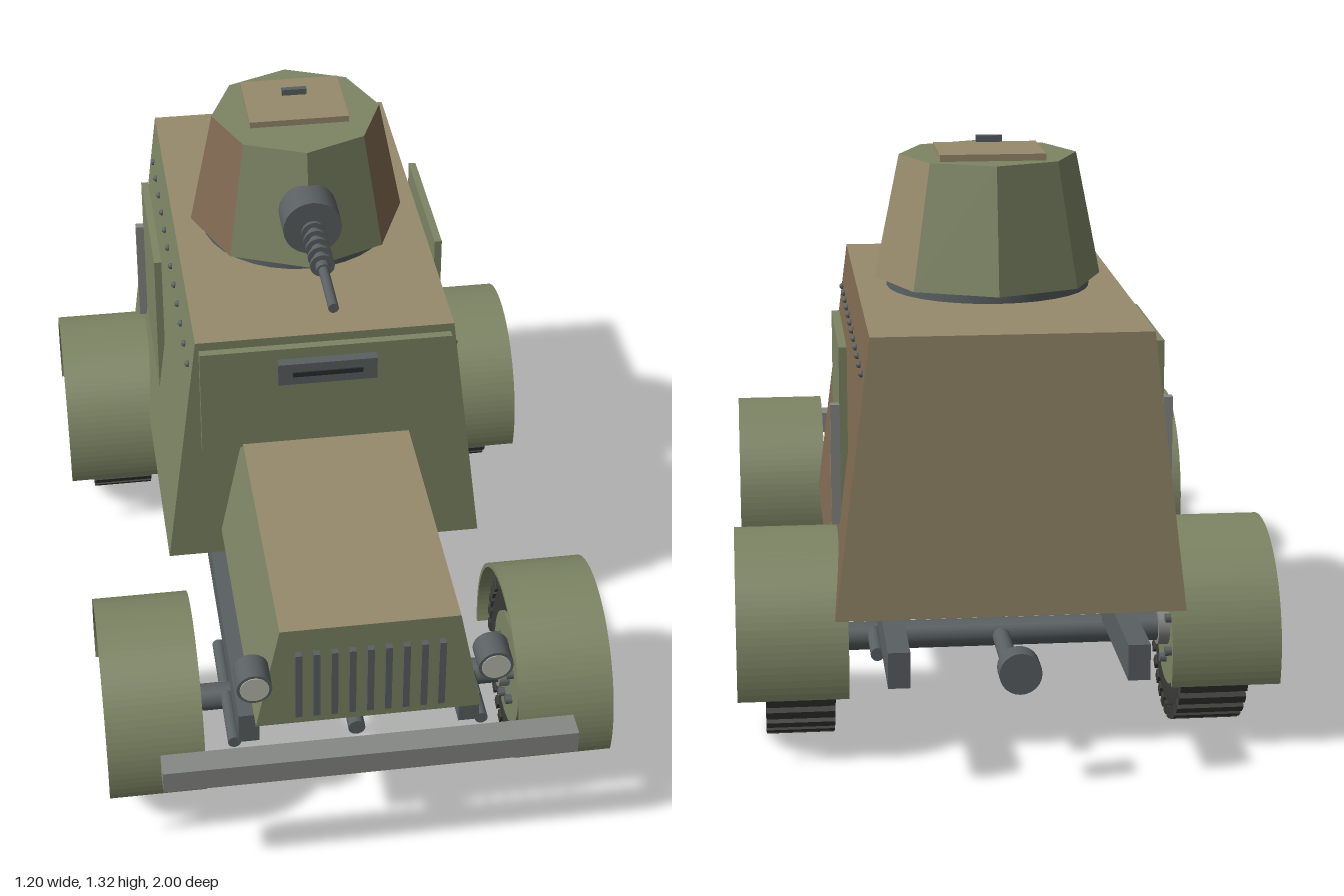
import * as THREE from 'three';

const mat = (color, extra = {}) => new THREE.MeshStandardMaterial({ color, ...extra });
const green = mat(0x7d8564), brown = mat(0x806a52), tan = mat(0x988b6c);
const steel = mat(0x5a6062), grey = mat(0x868885), rubber = mat(0x3a3b37);
const black = mat(0x2b2d2c), glass = mat(0xb9bbae);
// Camouflage order of box faces: +x, -x, +y, -y, +z, -z
const camo = [brown, green, tan, green, green, tan];

export function createModel() {
  const model = new THREE.Group();

  function add(name, geometry, material, x, y, z, parent = model) {
    const m = new THREE.Mesh(geometry, material);
    m.name = name;
    m.position.set(x, y, z);
    parent.add(m);
    return m;
  }
  const box = (name, w, h, d, material, x, y, z, parent) =>
    add(name, new THREE.BoxGeometry(w, h, d), material, x, y, z, parent);
  // Cylinder lying along the x or z axis
  function rod(name, axis, r, len, material, x, y, z, parent, sides = 24) {
    const g = new THREE.CylinderGeometry(r, r, len, sides);
    if (axis === 'x') g.rotateZ(Math.PI / 2);
    else g.rotateX(Math.PI / 2);
    return add(name, g, material, x, y, z, parent);
  }
  // Box whose sides lean inward towards the top
  function tapered(name, bottom, top, y0, y1, z0, z1) {
    const g = new THREE.BoxGeometry(2, y1 - y0, z1 - z0);
    const p = g.attributes.position;
    for (let i = 0; i < p.count; i++) p.setX(i, p.getX(i) * (p.getY(i) > 0 ? top : bottom));
    g.computeVertexNormals();
    return add(name, g, camo, 0, (y0 + y1) / 2, (z0 + z1) / 2);
  }

  // Armoured body
  tapered('hull', 0.385, 0.305, 0.345, 0.975, -0.83, 0.225);
  tapered('hood', 0.255, 0.2, 0.415, 0.687, 0.225, 0.92);
  box('driverPlate', 0.595, 0.275, 0.02, green, 0, 0.816, 0.235);
  box('visor', 0.234, 0.057, 0.025, steel, 0, 0.897, 0.257);
  box('visorSlit', 0.165, 0.012, 0.006, black, 0, 0.897, 0.27);
  for (let i = -4; i <= 4; i++) {
    box('grilleBar', 0.015, 0.18, 0.02, steel, i * 0.04, 0.535, 0.925);
  }

  // Side doors, handles, rivets and headlights
  for (const s of [1, -1]) {
    box('door', 0.018, 0.385, 0.385, green, s * 0.353, 0.713, -0.427);
    box('doorHandle', 0.021, 0.275, 0.02, grey, s * 0.372, 0.64, -0.615);
    for (let i = 0; i < 12; i++) {
      add('rivet', new THREE.SphereGeometry(0.008, 8, 6), steel, s * 0.319, 0.88, 0.168 - i * 0.0845);
    }
    rod('headlight', 'z', 0.039, 0.07, steel, s * 0.265, 0.6, 0.963);
    rod('headlightLens', 'z', 0.032, 0.006, glass, s * 0.265, 0.6, 0.997);
  }

  // Octagonal turret, one paint colour per side
  const turret = new THREE.Group();
  turret.name = 'turret';
  turret.position.set(0, 0, -0.287);
  model.add(turret);
  const shell = new THREE.CylinderGeometry(0.205, 0.263, 0.285, 8);
  shell.clearGroups();
  [0, 1, 2, 0, 0, 0, 1, 0].forEach((c, i) => shell.addGroup(i * 6, 6, c));
  shell.addGroup(48, 48, 0);
  const flat = [green, brown, tan].map(m => mat(m.color, { flatShading: true }));
  add('turretShell', shell, flat, 0, 1.138, 0, turret);
  add('turretRing', new THREE.CylinderGeometry(0.235, 0.235, 0.024, 32), steel, 0, 0.985, 0, turret);
  box('hatch', 0.24, 0.016, 0.2, tan, 0, 1.288, -0.028, turret);
  box('hatchHandle', 0.06, 0.015, 0.014, steel, 0, 1.318, -0.028, turret);

  // Gun with cooling fins
  rod('gunMount', 'z', 0.07, 0.09, steel, 0, 1.13, -0.033);
  rod('gunSleeve', 'z', 0.017, 0.19, steel, 0, 1.13, 0.1);
  rod('gunBarrel', 'z', 0.012, 0.36, steel, 0, 1.13, 0.17);
  for (let i = 0; i < 5; i++) rod('gunFin', 'z', 0.029, 0.009, steel, 0, 1.13, 0.03 + i * 0.035);

  // Chassis
  for (const s of [1, -1]) {
    box('frameRail', 0.048, 0.08, 1.77, steel, s * 0.257, 0.285, -0.095);
    for (const z of [0.61, -0.575]) rod('spring', 'z', 0.015, 0.34, steel, s * 0.29, 0.236, z);
  }
  rod('driveShaft', 'z', 0.02, 1.6, steel, 0, 0.22, -0.045);
  rod('rearHitch', 'z', 0.046, 0.05, steel, 0, 0.275, -0.975);
  box('bumper', 0.94, 0.056, 0.06, grey, 0, 0.327, 0.95);

  // Wheel built around the x axis
  const profile = [[0.13, -0.065], [0.18, -0.074], [0.203, -0.06],
    [0.203, 0.06], [0.18, 0.074], [0.13, 0.065]].map(p => new THREE.Vector2(...p));
  const tire = new THREE.LatheGeometry(profile, 40).rotateZ(Math.PI / 2);
  const tireMat = mat(0x3a3b37, { side: THREE.DoubleSide });
  function wheel(x, z) {
    const w = new THREE.Group();
    w.name = 'wheel';
    w.position.set(x, 0.225, z);
    model.add(w);
    add('tire', tire, tireMat, 0, 0, 0, w);
    for (let i = 0; i < 32; i++) {
      const a = i / 32 * Math.PI * 2;
      const lug = box('treadLug', 0.152, 0.026, 0.024, rubber, 0, 0.203 * Math.cos(a), 0.203 * Math.sin(a), w);
      lug.rotation.x = a;
    }
    rod('rim', 'x', 0.136, 0.15, green, 0, 0, 0, w, 32);
    rod('hub', 'x', 0.045, 0.2, grey, 0, 0, 0, w);
    for (let i = 0; i < 6; i++) {
      const a = i / 6 * Math.PI * 2;
      rod('wheelBolt', 'x', 0.011, 0.182, steel, 0, 0.08 * Math.cos(a), 0.08 * Math.sin(a), w, 8);
    }
  }

  // Curved mudguard strip, a little more than a half circle
  function fender(x, z, width) {
    const shape = new THREE.Shape();
    shape.absarc(0, 0, 0.252, -0.24, Math.PI + 0.24, false);
    shape.absarc(0, 0, 0.242, Math.PI + 0.24, -0.24, true);
    const g = new THREE.ExtrudeGeometry(shape, { depth: width, bevelEnabled: false, curveSegments: 28 });
    g.translate(0, 0, -width / 2).rotateY(Math.PI / 2);
    add('fender', g, green, x, 0.225, z);
  }

  for (const z of [0.605, -0.58]) {
    rod('axle', 'x', 0.032, 0.82, steel, 0, 0.222, z);
    for (const s of [1, -1]) {
      wheel(s * 0.461, z);
      if (z > 0) fender(s * 0.475, z, 0.222);
      else fender(s * 0.478, z, 0.244);
    }
  }
  return model;
}
